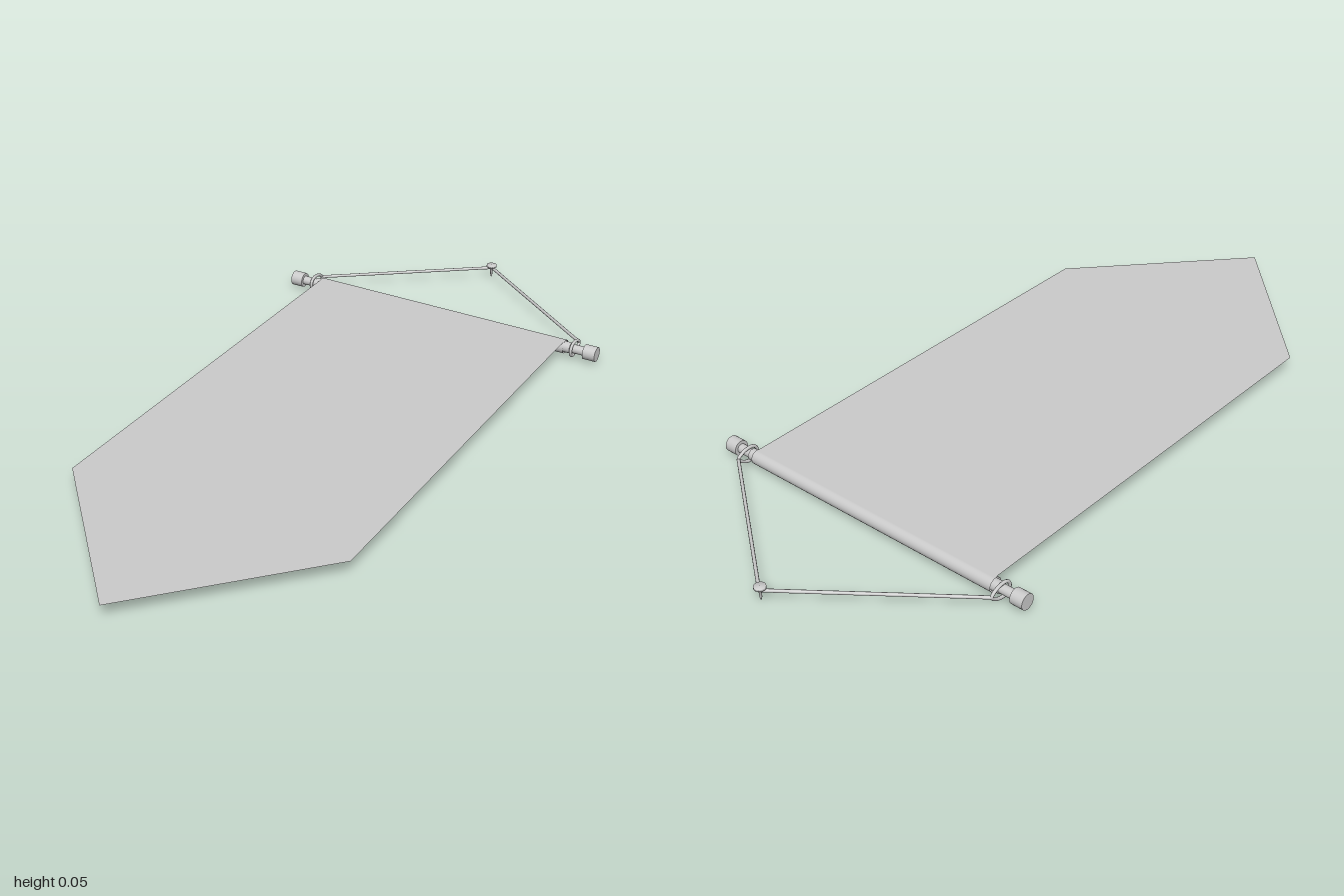
import * as THREE from 'three';

const ROD_Y = 0.029, ROD_Z = -0.633, SLEEVE_R = 0.0195;
const NAIL_Z = -0.984, CORD_Y = 0.031;

export function createModel() {
  const model = new THREE.Group();
  const grey = new THREE.MeshStandardMaterial({ color: 0xcccccc });
  const cloth = new THREE.MeshStandardMaterial({ color: 0xcccccc, side: THREE.DoubleSide });

  const add = (name, geometry, material = grey) => {
    const mesh = new THREE.Mesh(geometry, material);
    mesh.name = name;
    model.add(mesh);
    return mesh;
  };
  // Cylinder lying along x, centred on the rod axis
  const alongX = (name, radius, length, x, open = false, material = grey) => {
    const g = new THREE.CylinderGeometry(radius, radius, length, 24, 1, open);
    g.rotateZ(Math.PI / 2);
    add(name, g, material).position.set(x, ROD_Y, ROD_Z);
  };

  // Pennant cloth, tangent to the top of its sleeve
  const outline = new THREE.Shape([
    [-0.391, -ROD_Z], [-0.391, -0.585], [0, -1], [0.391, -0.585], [0.391, -ROD_Z],
  ].map(([x, y]) => new THREE.Vector2(x, y)));
  const sheet = new THREE.ShapeGeometry(outline);
  sheet.rotateX(-Math.PI / 2);
  add('pennantCloth', sheet, cloth).position.y = ROD_Y + SLEEVE_R;
  alongX('clothSleeve', SLEEVE_R, 0.786, 0, true, cloth);

  // Hanging rod
  alongX('rod', 0.0125, 0.93, 0);

  for (const side of [1, -1]) {
    const label = side > 0 ? 'left' : 'right';
    alongX(label + 'RodCollar', 0.0155, 0.03, side * 0.395);
    alongX(label + 'EndCap', 0.021, 0.036, side * 0.469);

    // Cord loop around the rod, drawn out towards the nail
    const loop = [];
    for (let i = 0; i <= 8; i++) {
      const a = -Math.PI / 2 + (i / 8) * Math.PI;
      loop.push(new THREE.Vector3(side * 0.417, ROD_Y + 0.019 * Math.sin(a), ROD_Z + 0.021 * Math.cos(a)));
    }
    loop.push(
      new THREE.Vector3(side * 0.417, ROD_Y + 0.016, ROD_Z - 0.022),
      new THREE.Vector3(side * 0.417, ROD_Y + 0.002, ROD_Z - 0.041),
      new THREE.Vector3(side * 0.417, ROD_Y - 0.014, ROD_Z - 0.022),
    );
    add(label + 'CordLoop', new THREE.TubeGeometry(new THREE.CatmullRomCurve3(loop, true), 48, 0.0045, 8, true));

    // Straight cord up to the nail
    const cord = new THREE.LineCurve3(
      new THREE.Vector3(side * 0.417, CORD_Y, ROD_Z - 0.041),
      new THREE.Vector3(0, CORD_Y, NAIL_Z - 0.003),
    );
    add(label + 'Cord', new THREE.TubeGeometry(cord, 1, 0.0045, 8));
  }

  // Nail: flat head, thin shank, pointed tip
  const profile = [
    [0, 0], [0.003, 0.01], [0.0045, 0.03], [0.015, 0.036], [0.015, 0.042], [0, 0.043],
  ].map(([r, y]) => new THREE.Vector2(r, y));
  add('nail', new THREE.LatheGeometry(profile, 16)).position.z = NAIL_Z;

  return model;
}
